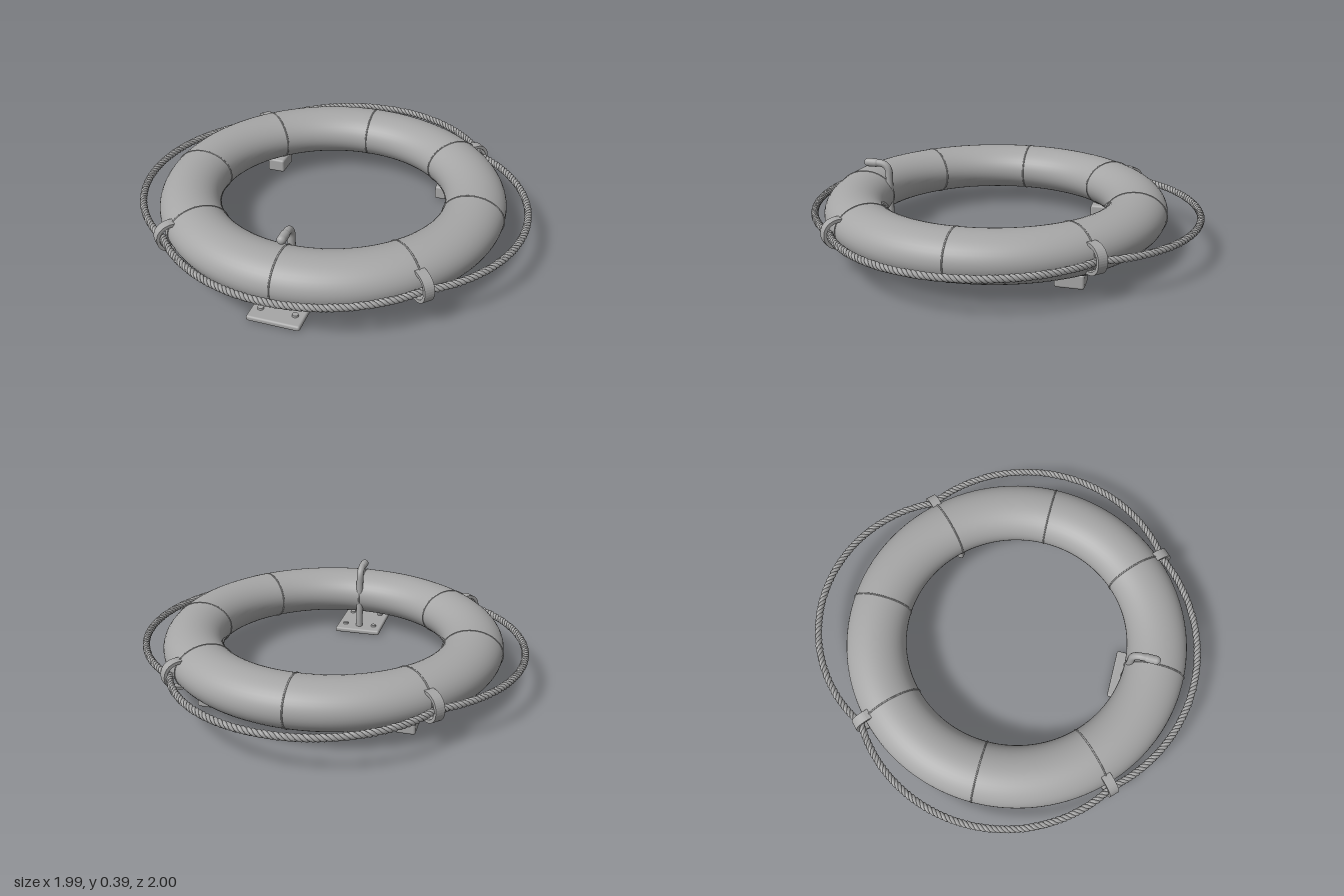
import * as THREE from 'three';
import { RoundedBoxGeometry } from 'three/addons/geometries/RoundedBoxGeometry.js';

const RING = { r: 0.7175, a: 0.1525, b: 0.12, y: 0.2, z: 0.05 };
const STRAP_R = 0.893;

// One twisted strand of the rope, which bulges outward between the four straps
class Strand extends THREE.Curve {
  constructor(phase) {
    super();
    this.phase = phase;
    this.arcLengthDivisions = 3000;
  }
  getPoint(t, target = new THREE.Vector3()) {
    const a = t * Math.PI * 2;
    const s = Math.sin(a), c = Math.cos(a);
    // Slack is largest at the back and smallest at the front
    const slack = Math.abs(c) > Math.abs(s) ? 0.084 : (s < 0 ? 0.139 : 0.034);
    const twist = a * 88 + this.phase;
    const r = STRAP_R + slack * Math.pow(Math.abs(Math.cos(2 * a)), 0.85) + 0.009 * Math.cos(twist);
    return target.set(r * c, 0.009 * Math.sin(twist), r * s);
  }
}

export function createModel() {
  const model = new THREE.Group();
  const grey = new THREE.MeshStandardMaterial({ color: 0xa6a6a6 });
  grey.name = 'plain grey';

  const add = (parent, name, geometry, x = 0, y = 0, z = 0) => {
    const mesh = new THREE.Mesh(geometry, grey);
    mesh.name = name;
    mesh.position.set(x, y, z);
    parent.add(mesh);
    return mesh;
  };

  const buoy = new THREE.Group();
  buoy.name = 'buoy';
  buoy.position.set(0, RING.y, RING.z);
  model.add(buoy);

  // Ring with an oval section
  const ring = new THREE.TorusGeometry(RING.r, RING.a, 40, 128);
  ring.rotateX(Math.PI / 2);
  ring.scale(1, RING.b / RING.a, 1);
  add(buoy, 'ring', ring);

  // Eight raised seams around the ring section
  for (let i = 0; i < 8; i++) {
    const seam = new THREE.TorusGeometry(RING.a, 0.004, 6, 56);
    seam.scale(1, RING.b / RING.a, 1);
    seam.translate(RING.r, 0, 0);
    seam.rotateY(i * Math.PI / 4);
    add(buoy, 'seam', seam);
  }

  // Grab rope of three strands
  for (let i = 0; i < 3; i++) {
    const strand = new Strand(i * Math.PI * 2 / 3);
    add(buoy, 'ropeStrand', new THREE.TubeGeometry(strand, 1100, 0.0098, 6, true));
  }

  // Four loops that hold the rope to the ring
  const loop = new THREE.Shape();
  loop.moveTo(0.82, -0.074);
  loop.lineTo(0.86, -0.074);
  loop.bezierCurveTo(0.9, -0.07, 0.931, -0.045, 0.931, 0);
  loop.bezierCurveTo(0.931, 0.045, 0.9, 0.07, 0.86, 0.074);
  loop.lineTo(0.82, 0.074);
  loop.lineTo(0.82, 0.059);
  loop.lineTo(0.856, 0.059);
  loop.bezierCurveTo(0.89, 0.055, 0.916, 0.035, 0.916, 0);
  loop.bezierCurveTo(0.916, -0.035, 0.89, -0.055, 0.856, -0.059);
  loop.lineTo(0.82, -0.059);
  for (let i = 0; i < 4; i++) {
    const strap = new THREE.ExtrudeGeometry(loop, { depth: 0.05, bevelEnabled: false, curveSegments: 10 });
    strap.translate(0, 0, -0.025);
    strap.rotateY(Math.PI / 4 + i * Math.PI / 2);
    add(buoy, 'ropeStrap', strap);
  }

  // Two support blocks under the back
  for (const side of [-1, 1]) {
    add(model, 'supportBlock', new RoundedBoxGeometry(0.096, 0.074, 0.14, 3, 0.012), side * 0.488, 0.046, -0.438);
  }

  // Bracket: plate, screws and bent hook
  const bracket = new THREE.Group();
  bracket.name = 'bracket';
  model.add(bracket);
  add(bracket, 'basePlate', new RoundedBoxGeometry(0.256, 0.027, 0.324, 3, 0.01), 0, 0.0135, 0.735);
  for (const x of [-0.083, 0.083]) {
    for (const z of [0.645, 0.825]) {
      add(bracket, 'screw', new THREE.CylinderGeometry(0.014, 0.016, 0.012, 20), x, 0.03, z);
    }
  }
  const hookPath = new THREE.CurvePath();
  const v = (y, z) => new THREE.Vector3(0, y, z);
  hookPath.add(new THREE.LineCurve3(v(0.02, 0.637), v(0.315, 0.637)));
  hookPath.add(new THREE.QuadraticBezierCurve3(v(0.315, 0.637), v(0.371, 0.637), v(0.371, 0.693)));
  hookPath.add(new THREE.LineCurve3(v(0.371, 0.693), v(0.371, 0.76)));
  add(bracket, 'hook', new THREE.TubeGeometry(hookPath, 80, 0.019, 16));
  const grip = new THREE.CapsuleGeometry(0.022, 0.042, 6, 18);
  grip.rotateX(Math.PI / 2);
  add(bracket, 'hookTip', grip, 0, 0.371, 0.731);

  return model;
}
